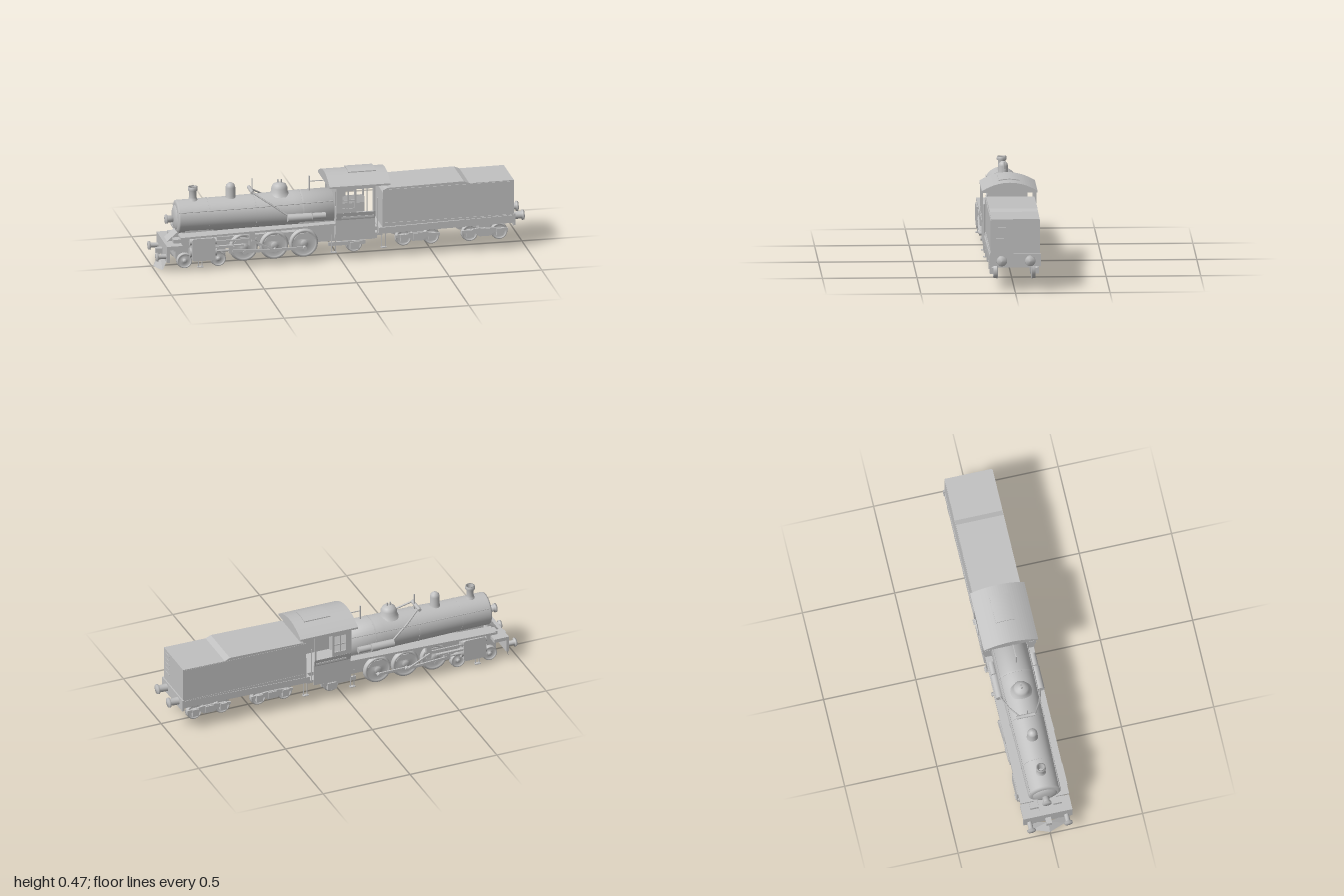
import * as THREE from 'three';

export function createModel() {
  const model = new THREE.Group();
  const grey = new THREE.MeshStandardMaterial({ color: 0xc0c0c0, side: THREE.DoubleSide });
  grey.name = 'plain grey';

  const add = (name, geo, x = 0, y = 0, z = 0) => {
    const m = new THREE.Mesh(geo, grey);
    m.name = name;
    m.position.set(x, y, z);
    model.add(m);
    return m;
  };
  // Box given by its limits on each axis
  const box = (name, x0, x1, y0, y1, z0, z1) =>
    add(name, new THREE.BoxGeometry(x1 - x0, y1 - y0, z1 - z0), (x0 + x1) / 2, (y0 + y1) / 2, (z0 + z1) / 2);
  // Lathe profile of [radius, position] along an axis
  const lathe = (name, pts, axis, x, y, z, seg = 32) => {
    const g = new THREE.LatheGeometry(pts.map(p => new THREE.Vector2(...p)), seg);
    if (axis === 'x') g.rotateZ(-Math.PI / 2);
    if (axis === 'z') g.rotateX(Math.PI / 2);
    return add(name, g, x, y, z);
  };
  const cyl = (name, r, len, axis, x, y, z, seg = 20) => {
    const g = new THREE.CylinderGeometry(r, r, len, seg);
    if (axis === 'x') g.rotateZ(Math.PI / 2);
    if (axis === 'z') g.rotateX(Math.PI / 2);
    return add(name, g, x, y, z);
  };
  const pipe = (name, r, ...pts) =>
    add(name, new THREE.TubeGeometry(new THREE.CatmullRomCurve3(pts.map(p => new THREE.Vector3(...p)), false, 'catmullrom', 0.1), 24, r, 6));
  // Flat xy outline extruded in z, centred on z
  const slab = (name, pts, depth, z, holes = []) => {
    const s = new THREE.Shape(pts.map(p => new THREE.Vector2(...p)));
    holes.forEach(h => s.holes.push(new THREE.Path(h.map(p => new THREE.Vector2(...p)))));
    return add(name, new THREE.ExtrudeGeometry(s, { depth, bevelEnabled: false }), 0, 0, z - depth / 2);
  };
  const rect = (x0, x1, y0, y1) => [[x0, y0], [x1, y0], [x1, y1], [x0, y1]];
  const bar = (name, a, b, h, z) => {
    const len = Math.hypot(b[0] - a[0], b[1] - a[1]);
    const m = add(name, new THREE.BoxGeometry(len, h, 0.008), (a[0] + b[0]) / 2, (a[1] + b[1]) / 2, z);
    m.rotation.z = Math.atan2(b[1] - a[1], b[0] - a[0]);
  };
  // Disc wheel with raised rim, hub and inner flange
  const wheel = (name, r, x, y, s) => {
    const profile = [[0, 0.016], [r * 0.26, 0.016], [r * 0.26, 0.004], [r * 0.82, 0.004], [r * 0.84, 0.011], [r, 0.011], [r, -0.006], [r * 1.06, -0.006], [r * 1.06, -0.011], [0, -0.011]];
    lathe(name, profile.map(([a, b]) => [a, s * b]), 'z', x, y, s * 0.1, 40);
  };

  // Boiler with smokebox, door, lamp and bands
  lathe('boiler', [[0, -0.873], [0.07, -0.873], [0.086, -0.868], [0.088, -0.86], [0.09, -0.6], [0.098, -0.25], [0.1, -0.03], [0, -0.03]], 'x', 0, 0.267, 0, 48);
  lathe('smokeboxDoor', [[0.066, 0], [0.055, -0.008], [0.03, -0.013], [0, -0.014]], 'x', -0.873, 0.262, 0);
  lathe('headlamp', [[0, 0], [0.018, 0], [0.018, -0.03], [0.024, -0.031], [0.024, -0.042], [0, -0.042]], 'x', -0.885, 0.255, 0);
  [[-0.7, 0.0905], [-0.45, 0.0955], [-0.2, 0.0998]].forEach(([x, r]) => cyl('boilerBand', r, 0.008, 'x', x, 0.267, 0, 48));
  box('firebox', -0.22, -0.03, 0.12, 0.26, -0.085, 0.085);
  box('smokeboxSaddle', -0.83, -0.68, 0.14, 0.21, -0.06, 0.06);

  // Boiler-top fittings
  lathe('chimney', [[0.03, 0.342], [0.023, 0.36], [0.019, 0.37], [0.02, 0.405], [0.026, 0.408], [0.025, 0.426], [0.018, 0.426], [0.016, 0.36]], 'y', -0.778, 0, 0);
  lathe('sandDome', [[0.034, 0.345], [0.026, 0.362], [0.026, 0.41], [0.022, 0.424], [0.012, 0.433], [0, 0.436]], 'y', -0.575, 0, 0);
  lathe('steamDome', [[0.058, 0.35], [0.044, 0.37], [0.043, 0.39], [0.034, 0.408], [0.016, 0.417], [0, 0.418]], 'y', -0.31, 0, 0);
  [-1, 1].forEach(s => cyl('safetyValve', 0.004, 0.022, 'y', -0.31 + s * 0.009, 0.424, 0, 8));
  cyl('whistle', 0.004, 0.09, 'y', -0.15, 0.402, 0.01, 8);
  box('whistleLever', -0.15, -0.03, 0.414, 0.418, 0.008, 0.012);
  cyl('valvePost', 0.003, 0.09, 'y', -0.457, 0.405, 0, 8);
  cyl('valveBody', 0.01, 0.1, 'z', -0.463, 0.383, -0.01, 12);

  // Frames and front end
  box('locomotiveFrame', -0.9, 0.2, 0.1, 0.165, -0.085, 0.085);
  box('leadingBogieFrame', -0.89, -0.62, 0.06, 0.1, -0.085, 0.085);
  box('frontDeck', -0.94, -0.86, 0.125, 0.145, -0.133, 0.133);
  box('bufferBeam', -0.945, -0.93, 0.055, 0.145, -0.133, 0.133);
  slab('lampBracket', [[-0.925, 0.145], [-0.86, 0.2], [-0.86, 0.145]], 0.08, 0);
  box('coupler', -0.98, -0.945, 0.07, 0.1, -0.015, 0.015);

  // V-shaped plough from a top and a bottom edge
  const plough = new THREE.BufferGeometry();
  plough.setAttribute('position', new THREE.Float32BufferAttribute(
    [-1, 1].flatMap(s => {
      const [a, b, c, d] = [[-0.955, 0.06, 0], [-0.938, 0.06, s * 0.097], [-0.96, 0.002, s * 0.09], [-0.992, 0, 0]];
      return [a, b, c, a, c, d].flat();
    }), 3));
  plough.computeVertexNormals();
  add('plough', plough);

  // Cab front and floor
  const wall = new THREE.Shape();
  wall.moveTo(-0.134, 0.12);
  wall.lineTo(0.134, 0.12);
  wall.lineTo(0.134, 0.23);
  wall.lineTo(0.143, 0.27);
  wall.lineTo(0.143, 0.415);
  wall.lineTo(-0.143, 0.415);
  wall.lineTo(-0.143, 0.27);
  wall.lineTo(-0.134, 0.23);
  [-1, 1].forEach(s => wall.holes.push(new THREE.Path(
    [[0.106, 0.3], [0.132, 0.3], [0.132, 0.385], [0.106, 0.385]].map(p => new THREE.Vector2(s * p[0], p[1])))));
  add('cabFront', new THREE.ExtrudeGeometry(wall, { depth: 0.01, bevelEnabled: false }).rotateY(Math.PI / 2), -0.033, 0, 0);
  box('cabFloor', -0.03, 0.22, 0.13, 0.145, -0.13, 0.13);
  // Arched roof closed along its chord, and raised curved hatch
  const arch = (name, half, y0, rise, under, t, x0, x1) => {
    const s = new THREE.Shape();
    s.moveTo(-half, y0);
    s.quadraticCurveTo(0, y0 + rise * 2, half, y0);
    s.lineTo(half, y0 - t);
    s.quadraticCurveTo(0, y0 - t + under * 2, -half, y0 - t);
    add(name, new THREE.ExtrudeGeometry(s, { depth: x1 - x0, bevelEnabled: false, curveSegments: 24 }).rotateY(Math.PI / 2), x0, 0, 0);
  };
  arch('cabRoof', 0.147, 0.42, 0.044, 0, 0.01, -0.07, 0.26);
  arch('roofHatch', 0.055, 0.468, 0.007, 0.007, 0.005, 0.05, 0.2);

  // Tender tank, frame and coal-space step
  slab('tenderTank', [[0.22, 0.17], [0.93, 0.17], [0.93, 0.385], [0.69, 0.383], [0.66, 0.396], [0.25, 0.388], [0.232, 0.382], [0.222, 0.365]], 0.256, -0.003);
  slab('tenderFrame', [[0.2, 0.138], [0.93, 0.15], [0.93, 0.192], [0.2, 0.172]], 0.268, 0);
  box('tenderBufferBeam', 0.925, 0.937, 0.135, 0.2, -0.137, 0.133);
  box('drawbar', 0.15, 0.26, 0.12, 0.145, -0.04, 0.04);
  for (let i = 0; i < 5; i++) box('ladderRung', 0.93, 0.933, 0.253 + i * 0.028, 0.256 + i * 0.028, 0.048, 0.1);

  for (const s of [-1, 1]) {
    const sb = (name, x0, x1, y0, y1, z0, z1) => box(name, x0, x1, y0, y1, Math.min(s * z0, s * z1), Math.max(s * z0, s * z1));

    // Running board, handrail and side equipment
    slab('runningBoard', [[-0.87, 0.178], [-0.03, 0.2], [-0.03, 0.211], [-0.87, 0.189]], 0.072, s * 0.096);
    pipe('handrail', 0.0025, [-0.87, 0.31, s * 0.08], [-0.5, 0.315, s * 0.088], [-0.04, 0.325, s * 0.092]);
    cyl('airReservoir', 0.021, 0.13, 'x', -0.225, 0.252, s * 0.111);
    cyl('reservoirPump', 0.017, 0.07, 'x', -0.12, 0.255, s * 0.112);
    pipe('feedPipe', 0.005, [-0.463, 0.383, s * 0.04], [-0.38, 0.33, s * 0.083], [-0.29, 0.268, s * 0.108]);

    // Cylinders, valve gear and rods
    slab('cylinderBlock', [[-0.81, 0.065], [-0.8, 0.055], [-0.695, 0.055], [-0.685, 0.065], [-0.685, 0.17], [-0.695, 0.178], [-0.8, 0.178], [-0.81, 0.17]], 0.06, s * 0.106);
    cyl('cylinderCover', 0.026, 0.145, 'x', -0.747, 0.098, s * 0.108, 24);
    cyl('valveChest', 0.018, 0.145, 'x', -0.747, 0.155, s * 0.11);
    cyl('pistonRod', 0.006, 0.12, 'x', -0.64, 0.1, s * 0.12, 8);
    sb('slideBar', -0.685, -0.53, 0.118, 0.128, 0.112, 0.128);
    sb('crosshead', -0.61, -0.575, 0.085, 0.12, 0.112, 0.13);
    bar('connectingRod', [-0.59, 0.1], [-0.36, 0.085], 0.014, s * 0.13);
    bar('couplingRod', [-0.525, 0.085], [-0.2, 0.085], 0.014, s * 0.121);
    bar('eccentricRod', [-0.36, 0.085], [-0.49, 0.15], 0.009, s * 0.135);
    bar('valveRod', [-0.68, 0.155], [-0.46, 0.155], 0.009, s * 0.126);
    sb('motionBracket', -0.5, -0.47, 0.12, 0.19, 0.11, 0.13);

    // Driving, leading and trailing wheels
    [-0.525, -0.36, -0.2].forEach(x => {
      wheel('drivingWheel', 0.074, x, 0.106, s);
      cyl('crankPin', 0.011, 0.04, 'z', x, 0.085, s * 0.116, 12);
      slab('counterweight', [[x - 0.055, 0.13], [x + 0.055, 0.13], [x + 0.03, 0.162], [x - 0.03, 0.162]], 0.014, s * 0.103);
    });
    [-0.845, -0.663].forEach(x => wheel('leadingWheel', 0.04, x, 0.053, s));
    sb('bogieAxleBox', -0.69, -0.63, 0.028, 0.065, 0.065, 0.095);
    wheel('trailingWheel', 0.043, 0.07, 0.085, s);
    sb('trailingFrame', -0.07, 0.13, 0.085, 0.105, 0.11, 0.122);
    sb('trailingAxleBox', 0.045, 0.095, 0.06, 0.1, 0.11, 0.13);

    // Buffers at both ends
    lathe('frontBuffer', [[0.013, 0], [0.013, -0.045], [0.024, -0.048], [0.022, -0.058], [0, -0.06]], 'x', -0.94, 0.082, s * 0.1);
    lathe('rearBuffer', [[0.021, 0], [0.019, 0.045], [0.028, 0.048], [0.026, 0.058], [0, 0.063]], 'x', 0.937, 0.17, s * 0.075 - 0.003);

    // Cab sides: upper wall with windows, sloping waist and lower panel
    slab('cabUpperSide', rect(-0.03, 0.178, 0.268, 0.415), 0.007, s * 0.142,
      [rect(0, 0.064, 0.295, 0.392), [[0.076, 0.27], [0.168, 0.27], [0.168, 0.4], [0.076, 0.4]]]);
    const waist = add('cabWaist', new THREE.BoxGeometry(0.208, 0.044, 0.007), 0.074, 0.25, s * 0.138);
    waist.rotation.x = s * 0.22;
    sb('cabLowerSide', -0.03, 0.178, 0.115, 0.232, 0.13, 0.137);
    sb('windowBar', 0.028, 0.034, 0.295, 0.392, 0.14, 0.144);
    sb('windowBar', 0, 0.064, 0.335, 0.341, 0.14, 0.144);
    sb('cabArmrest', -0.005, 0.17, 0.24, 0.25, 0.136, 0.145);
    cyl('cabHandrail', 0.003, 0.2, 'y', 0.192, 0.24, s * 0.133, 6);

    // Footsteps
    [[-0.045, 0.05], [0.225, 0.06], [-0.765, 0.02]].forEach(([x, y]) => {
      sb('footstepHanger', x - 0.012, x - 0.008, y, 0.15, 0.126, 0.129);
      sb('footstepHanger', x + 0.008, x + 0.012, y, 0.15, 0.126, 0.129);
      sb('footstepTread', x - 0.016, x + 0.016, y, y + 0.004, 0.12, 0.138);
    });

    // Beading around the tender sides
    slab('tankBeading', rect(0.222, 0.928, 0.185, 0.38), 0.005, s * 0.128 - 0.002, [rect(0.234, 0.916, 0.195, 0.372)]);

    // Tender bogies
    [[0.337, 0.487], [0.695, 0.855]].forEach(([a, b]) => {
      const c = (a + b) / 2;
      [a, b].forEach(x => {
        wheel('tenderWheel', 0.043, x, 0.1, s);
        sb('axleBox', x - 0.018, x + 0.018, 0.082, 0.122, 0.108, 0.13);
      });
      slab('bogieSideFrame', [[a - 0.045, 0.105], [a + 0.03, 0.1], [c - 0.03, 0.082], [c + 0.03, 0.082], [b - 0.03, 0.1], [b + 0.045, 0.105],
        [b + 0.045, 0.118], [c + 0.03, 0.128], [c - 0.03, 0.128], [a - 0.045, 0.118]], 0.01, s * 0.116);
      sb('bogieSpring', c - 0.025, c + 0.025, 0.09, 0.125, 0.11, 0.128);
      sb('bogieBolster', c - 0.03, c + 0.03, 0.105, 0.145, 0, 0.11);
    });
  }
  return model;
}
